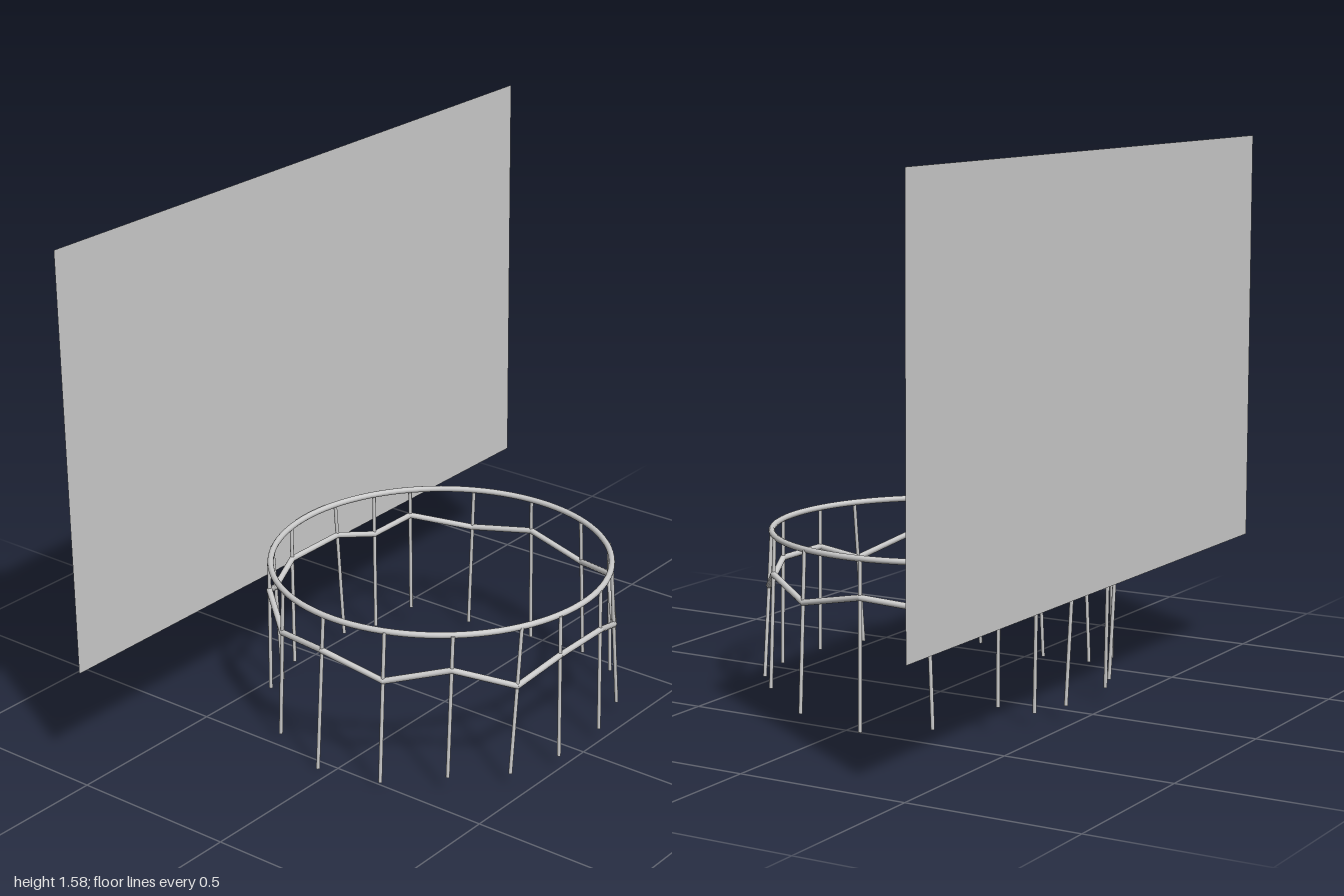
import * as THREE from 'three';

const RING_Y = 0.479, RING_R = 0.494, CENTER_X = -0.018;

// One side of the net, front to back:
// [top x, top z, bottom x, bottom y, bottom z, height of the band on this cord]
const CORDS = [
  [0.098, 0.492, 0.100, 0.04, 0.496, 0.358],
  [0.220, 0.448, 0.265, 0.04, 0.446, 0.305],
  [0.378, 0.330, 0.402, 0.05, 0.330, 0.377],
  [0.472, 0.165, 0.497, 0.02, 0.165, 0.332],
  [0.495, -0.033, 0.517, 0.00, -0.045, 0.372],
  [0.450, -0.218, 0.452, 0.02, -0.238, 0.350],
  [0.330, -0.373, 0.335, 0.075, -0.375, 0.392],
  [0.237, -0.440, 0.222, 0.04, -0.426, 0.347],
  [0.102, -0.482, 0.118, 0.043, -0.468, 0.378],
];

export function createModel() {
  const group = new THREE.Group();
  const mat = new THREE.MeshStandardMaterial({ color: 0xcccccc });

  const add = (parent, geo, name, material = mat) => {
    const mesh = new THREE.Mesh(geo, material);
    mesh.name = name;
    parent.add(mesh);
    return mesh;
  };

  // Round bar between two points
  const rod = (parent, a, b, radius, name) => {
    const dir = b.clone().sub(a);
    const mesh = add(parent, new THREE.CylinderGeometry(radius, radius, dir.length(), 10), name);
    mesh.position.copy(a).add(b).multiplyScalar(0.5);
    mesh.quaternion.setFromUnitVectors(new THREE.Vector3(0, 1, 0), dir.normalize());
  };

  // Flat backboard behind the ring
  const boardMat = new THREE.MeshStandardMaterial({ color: 0xcccccc, side: THREE.DoubleSide });
  const board = add(group, new THREE.PlaneGeometry(2, 1.23), 'backboard', boardMat);
  board.position.set(0, 0.965, -0.504);

  // Ring and net share a centre slightly off the board's middle
  const hoop = new THREE.Group();
  hoop.name = 'hoop';
  hoop.position.x = CENTER_X;
  group.add(hoop);

  const ring = add(hoop, new THREE.TorusGeometry(RING_R, 0.009, 12, 96), 'ring');
  ring.rotation.x = Math.PI / 2;
  ring.position.y = RING_Y;

  // Hanging cords, mirrored left and right
  const joints = { 1: [], [-1]: [] };
  for (const side of [1, -1]) {
    for (const [tx, tz, bx, by, bz, bandY] of CORDS) {
      const top = new THREE.Vector3(side * tx, RING_Y, tz);
      const bottom = new THREE.Vector3(side * bx, by, bz);
      rod(hoop, top, bottom, 0.0055, 'netCord');
      joints[side].push(top.clone().lerp(bottom, (RING_Y - bandY) / (RING_Y - by)));
    }
  }

  // Zigzag band closing around all the cords
  const loop = [...joints[1], ...joints[-1].reverse()];
  loop.forEach((p, i) => {
    rod(hoop, p, loop[(i + 1) % loop.length], 0.009, 'netBand');
    add(hoop, new THREE.SphereGeometry(0.009, 10, 8), 'netJoint').position.copy(p);
  });

  return group;
}
